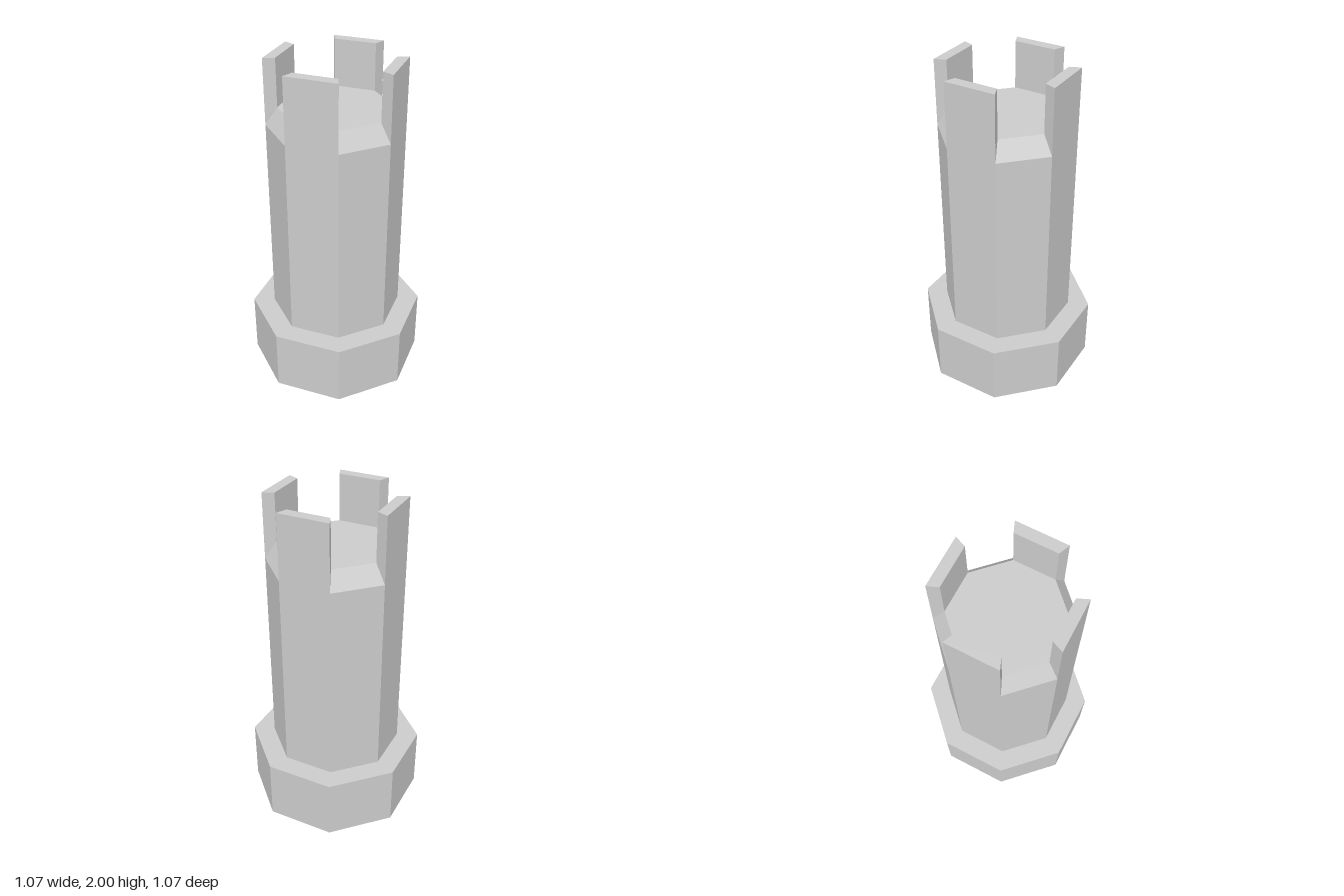
import * as THREE from 'three';

const SIDES = 8;
const OUTER = 0.401, INNER = 0.33;      // shaft and parapet radii
const SHOULDER = 1.61, ROOF = 1.715, TOP = 2;

const material = new THREE.MeshStandardMaterial({ color: 0xcccccc, flatShading: true });
const openMaterial = new THREE.MeshStandardMaterial({ color: 0xcccccc, flatShading: true, side: THREE.DoubleSide });

// Octagonal solid or shell from [radius, height] pairs
function octagon(name, profile, mat) {
  const points = profile.map(([r, y]) => new THREE.Vector2(r, y));
  const mesh = new THREE.Mesh(new THREE.LatheGeometry(points, SIDES), mat);
  mesh.name = name;
  return mesh;
}

export function createModel() {
  const group = new THREE.Group();
  group.name = 'tower';

  // Base: thin-walled plinth, open underneath
  group.add(octagon('base', [[0.533, 0], [0.533, 0.38], [0, 0.38]], openMaterial));

  // Shaft: closed column with a bevelled shoulder and flat roof
  group.add(octagon('shaft', [[0, 0.34], [OUTER, 0.34], [OUTER, SHOULDER], [INNER, ROOF], [0, ROOF]], material));

  // Battlements: one upright slab on every second side
  const c = Math.SQRT1_2;
  const plan = new THREE.Shape([
    new THREE.Vector2(0, -OUTER),
    new THREE.Vector2(OUTER * c, -OUTER * c),
    new THREE.Vector2(INNER * c, -INNER * c),
    new THREE.Vector2(0, -INNER),
  ]);
  const slab = new THREE.ExtrudeGeometry(plan, { depth: TOP - SHOULDER, bevelEnabled: false });
  slab.rotateX(-Math.PI / 2).translate(0, SHOULDER, 0);
  for (let i = 0; i < SIDES / 2; i++) {
    const merlon = new THREE.Mesh(slab, material);
    merlon.name = `merlon${i + 1}`;
    merlon.rotation.y = (i * Math.PI) / 2;
    group.add(merlon);
  }

  return group;
}
